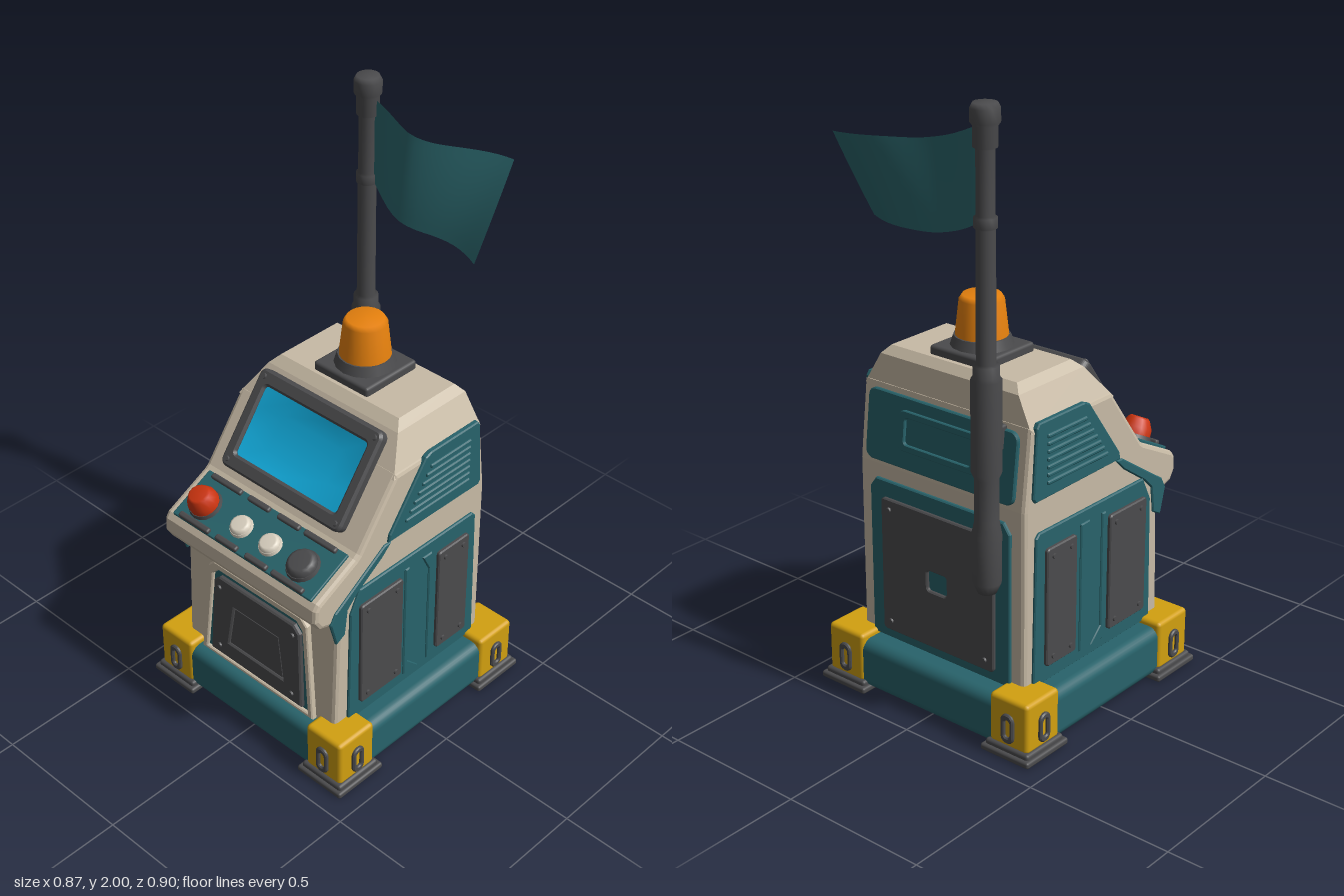
import * as THREE from 'three';
import { RoundedBoxGeometry } from 'three/addons/geometries/RoundedBoxGeometry.js';

const paint = (name, color) => {
  const m = new THREE.MeshStandardMaterial({ color });
  m.name = name;
  return m;
};

// Closed shape from [x, y] pairs
const poly = (pts) => new THREE.Shape(pts.map(([x, y]) => new THREE.Vector2(x, y)));

// Rectangle with rounded corners, centred on the origin
function roundRect(w, h, r, Type = THREE.Shape) {
  const s = new Type();
  [[1, 1, 0], [-1, 1, 0.5], [-1, -1, 1], [1, -1, 1.5]].forEach(([sx, sy, a]) =>
    s.absarc(sx * (w / 2 - r), sy * (h / 2 - r), r, a * Math.PI, (a + 0.5) * Math.PI, false));
  s.closePath();
  return s;
}

// Bevelled slab filling z = 0..depth inside the given outline
function slab(shape, depth, b = 0.004, segments = 1) {
  return new THREE.ExtrudeGeometry(shape, {
    depth: depth - 2 * b, bevelSize: b, bevelThickness: b, bevelOffset: -b,
    bevelSegments: segments, curveSegments: 4,
  }).translate(0, 0, b);
}

export function createModel() {
  const root = new THREE.Group();
  root.name = 'consoleMachine';
  const cream = paint('cream', 0xc8bba6), teal = paint('teal', 0x28636b);
  const dark = paint('darkGrey', 0x4b4b4d), yellow = paint('yellow', 0xd2a010);
  const orange = paint('orange', 0xe8820e), red = paint('red', 0xcc340f);
  const cyan = paint('screenCyan', 0x12aee0), ivory = paint('ivory', 0xdcd3c2);
  const cloth = paint('flagTeal', 0x2c686e);
  cloth.side = THREE.DoubleSide;

  const add = (name, geo, mat, x = 0, y = 0, z = 0, parent = root) => {
    const m = new THREE.Mesh(geo, mat);
    m.name = name;
    m.position.set(x, y, z);
    parent.add(m);
    return m;
  };
  const group = (name, x, y, z, parent = root) => {
    const g = new THREE.Group();
    g.name = name;
    g.position.set(x, y, z);
    parent.add(g);
    return g;
  };
  const boltGeo = new THREE.CylinderGeometry(0.008, 0.01, 0.008, 8).rotateX(Math.PI / 2);
  const bolts = (w, h, x, y, z, parent) => {
    for (const sx of [-1, 1]) for (const sy of [-1, 1])
      add('bolt', boltGeo, dark, x + sx * w, y + sy * h, z, parent);
  };

  // Base with corner guards and feet
  add('base', new RoundedBoxGeometry(0.82, 0.17, 0.82, 3, 0.035), teal, 0, 0.095, 0);
  const slotShape = roundRect(0.05, 0.1, 0.024);
  slotShape.holes.push(roundRect(0.02, 0.06, 0.009, THREE.Path));
  for (const sx of [-1, 1]) for (const sz of [-1, 1]) {
    const c = group('corner', sx * 0.342, 0, sz * 0.337);
    add('cornerGuard', new RoundedBoxGeometry(0.15, 0.17, 0.156, 2, 0.014), yellow, 0, 0.115, 0, c);
    add('foot', new RoundedBoxGeometry(0.19, 0.022, 0.2, 2, 0.008), dark, 0, 0.011, 0, c);
    add('footTop', new RoundedBoxGeometry(0.17, 0.03, 0.176, 2, 0.01), dark, 0, 0.024, 0, c);
    add('slotZ', slab(slotShape, 0.016), dark, 0, 0.1, sz > 0 ? 0.072 : -0.088, c);
    add('slotX', slab(slotShape, 0.016).rotateY(Math.PI / 2), dark, sx > 0 ? 0.069 : -0.085, 0.1, 0, c);
  }

  // Body: side profile as [z, y], extruded across x
  const profile = [
    [-0.33, 0.17], [0.355, 0.17], [0.34, 0.58], [0.365, 0.62], [0.415, 0.635], [0.437, 0.67],
    [0.434, 0.715], [0.42, 0.735], [0.26, 0.815], [0.245, 0.827], [0.087, 1.04], [-0.3, 1.04], [-0.33, 0.78],
  ];
  add('body', slab(poly(profile), 0.67, 0.014, 2).rotateY(-Math.PI / 2), cream, 0.335, 0, 0);

  // Tapered roof: upper corners of a box are pulled in
  const roof = new THREE.BoxGeometry(1, 1, 1, 1, 2, 1).toNonIndexed();
  const p = roof.attributes.position;
  for (let i = 0; i < p.count; i++) {
    const level = Math.round((p.getY(i) + 0.5) * 2);
    const [halfX, y, front, back] = [
      [0.333, 1.025, 0.097, -0.299], [0.275, 1.13, 0.019, -0.288], [0.25, 1.157, -0.012, -0.265],
    ][level];
    p.setXYZ(i, Math.sign(p.getX(i)) * halfX, y, p.getZ(i) > 0 ? front : back);
  }
  roof.computeVertexNormals();
  add('roof', roof, cream);

  // Side panels, the same on both sides, outlines as [z, y]
  for (const s of [-1, 1]) {
    const side = (name, shape, depth, inner, mat, y = 0, z = 0) =>
      add(name, slab(shape, depth).rotateY(-Math.PI / 2), mat, s > 0 ? inner + depth : -inner, y, z);
    side('ventPanel', poly([[0.125, 0.81], [0.12, 0.835], [-0.035, 1.045], [-0.06, 1.055],
      [-0.275, 1.055], [-0.285, 1.04], [-0.3, 0.82], [-0.29, 0.805]]), 0.02, 0.325, teal);
    for (let i = 0; i < 7; i++) {
      const front = 0.055 - i * 0.018;
      side('ventSlat', roundRect(front + 0.24, 0.014, 0.005), 0.012, 0.34, teal, 0.855 + i * 0.025, (front - 0.24) / 2);
    }
    side('consoleFlank', poly([[0.35, 0.54], [0.375, 0.63], [0.355, 0.665], [0.14, 0.805], [0.11, 0.805],
      [0.15, 0.765], [0.26, 0.69], [0.3, 0.65], [0.312, 0.56]]), 0.014, 0.328, teal);
    side('sidePanel', poly([[0.3, 0.185], [0.29, 0.62], [0.25, 0.7], [-0.27, 0.7], [-0.285, 0.685],
      [-0.295, 0.185]]), 0.018, 0.326, teal);
    side('sideRib', poly([[0.05, 0.22], [0.05, 0.66], [0.03, 0.66], [0.03, 0.27], [-0.02, 0.22]]), 0.01, 0.34, teal);
    side('sideRib', poly([[-0.075, 0.22], [-0.075, 0.66], [-0.03, 0.66], [-0.06, 0.6], [-0.06, 0.22]]), 0.01, 0.34, teal);
    for (const [z, w] of [[0.16, 0.19], [-0.173, 0.145]]) {
      side('sidePlate', roundRect(w, 0.4, 0.012), 0.016, 0.34, dark, 0.44, z);
      const b = group('sideBolts', s * 0.357, 0.44, z);
      b.rotation.y = s * Math.PI / 2;
      bolts(w / 2 - 0.03, 0.17, 0, 0, 0, b);
    }
  }

  // Front door in a tapered frame, leaning with the body
  const door = group('frontDoor', 0, 0.18, 0.35);
  door.rotation.x = -0.037;
  const trapezoid = (b, t, y0, y1) => [[-b, y0], [b, y0], [t + 0.006, y1 - 0.025], [t - 0.02, y1], [-t + 0.02, y1], [-t - 0.006, y1 - 0.025]];
  const frame = poly(trapezoid(0.255, 0.215, 0.0, 0.385));
  frame.holes.push(new THREE.Path(poly(trapezoid(0.232, 0.195, 0.015, 0.36)).getPoints()));
  add('doorFrame', slab(frame, 0.024), cream, 0, 0, 0, door);
  add('doorSurround', slab(poly(trapezoid(0.234, 0.197, 0.012, 0.362)), 0.012, 0.002), teal, 0, 0, 0, door);
  const doorPlate = poly(trapezoid(0.208, 0.187, 0.025, 0.34));
  doorPlate.holes.push(new THREE.Path(poly([[-0.125, 0.09], [0.125, 0.09], [0.1, 0.25], [-0.1, 0.25]]).getPoints()));
  add('doorPlate', slab(doorPlate, 0.026, 0.005), dark, 0, 0, 0.002, door);
  add('doorInset', slab(poly([[-0.13, 0.085], [0.13, 0.085], [0.105, 0.255], [-0.105, 0.255]]), 0.023, 0.01), dark, 0, 0, 0, door);
  bolts(0.165, 0.12, 0, 0.18, 0.03, door);

  // Back panels
  const back = group('back', 0, 0, -0.325);
  back.rotation.y = Math.PI;
  add('backPanel', slab(poly([[-0.285, 0.185], [0.285, 0.185], [0.285, 0.7], [0.26, 0.735], [-0.26, 0.735], [-0.285, 0.7]]), 0.016), teal, 0, 0, 0, back);
  const backPlate = roundRect(0.46, 0.46, 0.015);
  backPlate.holes.push(roundRect(0.08, 0.07, 0.012, THREE.Path));
  add('backPlate', slab(backPlate, 0.016), dark, 0, 0.45, 0.012, back);
  bolts(0.195, 0.195, 0, 0.45, 0.03, back);
  const hatch = group('backHatch', 0, 0.91, -0.009, back);
  hatch.rotation.x = -0.115;
  add('hatchPanel', slab(roundRect(0.6, 0.23, 0.03), 0.016), teal, 0, 0, 0, hatch);
  const rim = roundRect(0.32, 0.13, 0.02);
  rim.holes.push(roundRect(0.27, 0.085, 0.012, THREE.Path));
  add('hatchRim', slab(rim, 0.014, 0.003), teal, 0, 0.01, 0.012, hatch);

  // Screen on the sloping face
  const screen = group('screen', -0.004, 0.985, 0.13);
  screen.rotation.x = -0.639;
  const bezel = roundRect(0.52, 0.335, 0.025);
  bezel.holes.push(roundRect(0.436, 0.236, 0.012, THREE.Path));
  add('screenFrame', slab(bezel, 0.04, 0.008), dark, 0, 0, -0.004, screen);
  bolts(0.235, 0.143, 0, 0, 0.038, screen);
  const glass = new THREE.PlaneGeometry(0.444, 0.244, 3, 3);
  const g = glass.attributes.position;
  for (let i = 0; i < g.count; i++) {
    const inner = Math.abs(g.getX(i)) < 0.2 && Math.abs(g.getY(i)) < 0.1;
    g.setXYZ(i, g.getX(i) * (inner ? 1.7 : 1), g.getY(i) * (inner ? 1.4 : 1), inner ? 0.005 : 0.026);
  }
  glass.computeVertexNormals();
  add('screenGlass', glass, cyan, 0, 0, 0, screen);

  // Control deck with buttons
  const deck = group('controlDeck', 0, 0.775, 0.34);
  deck.rotation.x = 0.464;
  add('deckPlate', new RoundedBoxGeometry(0.61, 0.014, 0.182, 1, 0.004), teal, 0, 0.002, 0, deck);
  for (const z of [-0.08, 0.08])
    for (const [x, w] of [[-0.21, 0.135], [-0.065, 0.095], [0.065, 0.095], [0.2, 0.135]])
      add('deckTab', new RoundedBoxGeometry(w, 0.022, 0.02, 2, 0.007), dark, x, 0.01, z, deck);
  const button = (name, mat, x, r, h, top) => {
    add(name + 'Ring', new THREE.CylinderGeometry(r * 1.05, r * 1.15, 0.014, 16), name === 'redButton' ? dark : mat, x, 0.014, 0.012, deck);
    add(name, new THREE.LatheGeometry([[0.001 + r, 0], [r, h * 0.45], [top, h * 0.9], [top * 0.8, h], [0, h]]
      .map(([a, b]) => new THREE.Vector2(a, b)), 14), mat, x, 0.015, 0.012, deck);
  };
  button('redButton', red, -0.225, 0.05, 0.062, 0.036);
  button('whiteButton', ivory, -0.062, 0.035, 0.02, 0.03);
  button('whiteButton', ivory, 0.065, 0.035, 0.02, 0.03);
  button('darkKnob', dark, 0.205, 0.05, 0.028, 0.042);

  // Warning beacon
  const beacon = group('beacon', -0.006, 1.15, -0.137);
  add('beaconPlate', new RoundedBoxGeometry(0.228, 0.036, 0.226, 2, 0.01), dark, 0, 0.018, 0, beacon);
  add('beaconCollar', new THREE.CylinderGeometry(0.088, 0.1, 0.035, 16), dark, 0, 0.05, 0, beacon);
  add('beaconLamp', new THREE.LatheGeometry([[0.084, 0.05], [0.082, 0.075], [0.07, 0.18], [0.06, 0.195], [0, 0.196]]
    .map(([a, b]) => new THREE.Vector2(a, b)), 20), orange, 0, 0, 0, beacon);

  // Flag pole turned in one piece, with its lower bracket
  const poleProfile = [[0, 0.5], [0.03, 0.505], [0.045, 0.54], [0.047, 0.7], [0.038, 0.74], [0.038, 0.88],
    [0.047, 0.9], [0.047, 1.19], [0.04, 1.2], [0.04, 1.235], [0.03, 1.24], [0.029, 1.64], [0.035, 1.645],
    [0.035, 1.675], [0.028, 1.68], [0.028, 1.87], [0.036, 1.875], [0.036, 1.935], [0.044, 1.945],
    [0.044, 1.985], [0.036, 2], [0, 2]];
  add('flagPole', new THREE.LatheGeometry(poleProfile.map(([a, b]) => new THREE.Vector2(a, b)), 16), dark, -0.219, 0, -0.366);
  for (const y of [0.6, 1.0]) add('poleBracket', new RoundedBoxGeometry(0.06, 0.08, 0.06, 1, 0.008), dark, -0.219, y, -0.335);

  // Rippling flag
  const flag = new THREE.PlaneGeometry(1, 1, 16, 10);
  const f = flag.attributes.position;
  for (let i = 0; i < f.count; i++) {
    const u = f.getX(i) + 0.5, v = f.getY(i) + 0.5;
    const top = 1.93 - 0.07 * Math.sin(Math.min(u / 0.55, 1) * Math.PI / 2);
    const bottom = 1.65 - 0.075 * Math.sin(Math.min(u / 0.5, 1) * Math.PI / 2);
    const z = -0.366 + u * (0.075 - 0.14 * v) + 0.035 * Math.sin(u * Math.PI * 1.6 + (1 - v) * 0.9) * Math.min(1, u * 3);
    f.setXYZ(i, -0.19 + 0.463 * u, bottom + (top - bottom) * v, z);
  }
  flag.computeVertexNormals();
  add('flag', flag, cloth);

  return root;
}
